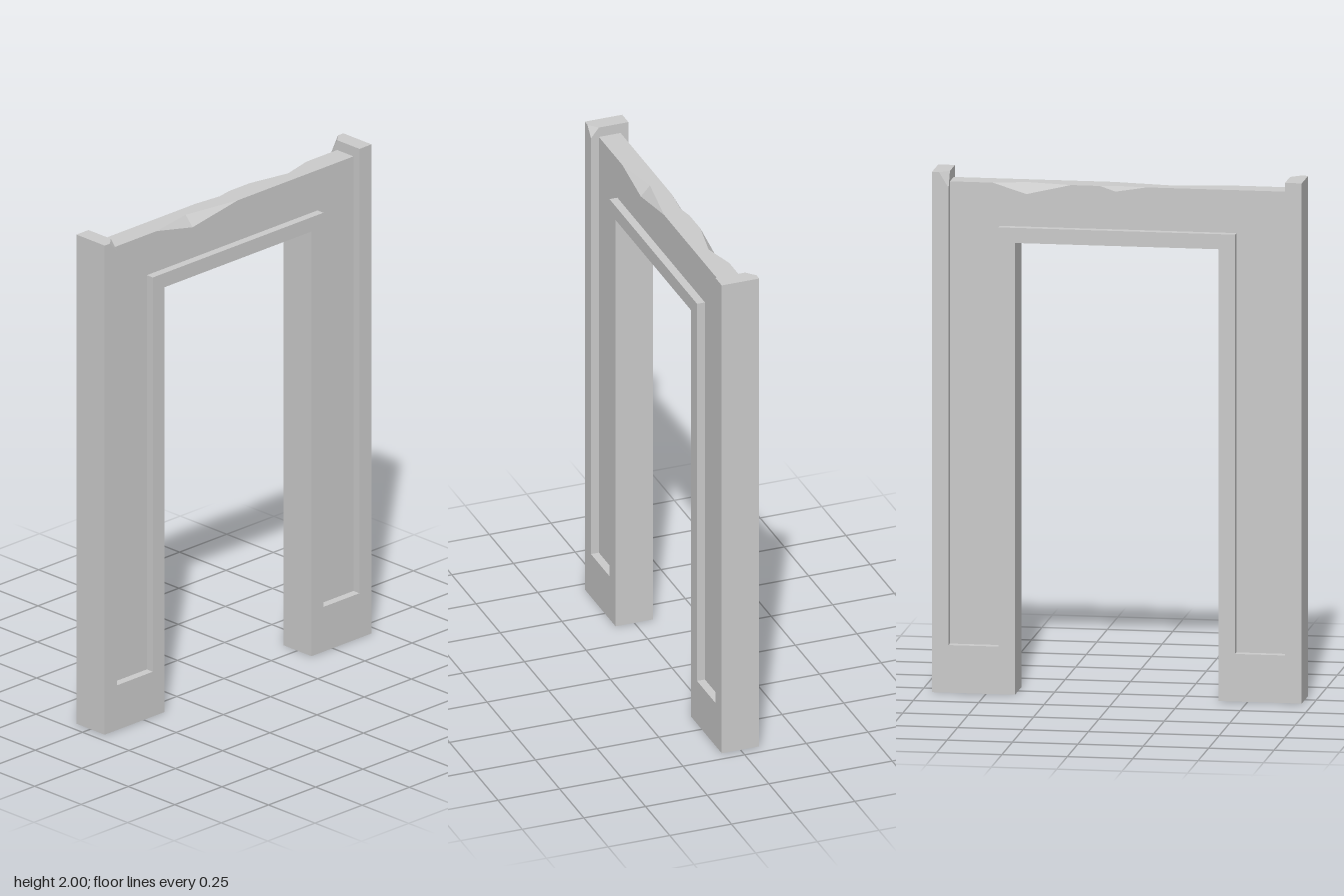
import * as THREE from 'three';
import { ConvexGeometry } from 'three/addons/geometries/ConvexGeometry.js';

const OUTER = 0.707, POST = 0.643, TRIM = 0.452, OPENING = 0.389;
const DEPTH = 0.076, CORE = 0.044;
const TOP = 2, LINTEL_TOP = 1.96, TRIM_TOP = 1.795, OPENING_TOP = 1.737, BASE_TOP = 0.183;

const material = new THREE.MeshStandardMaterial({ color: 0xcccccc, flatShading: true });

function part(name, geometry) {
  const mesh = new THREE.Mesh(geometry, material);
  mesh.name = name;
  return mesh;
}

// Full-depth feet and raised trim around the opening
function trimGeometry() {
  const half = [[OPENING, OPENING_TOP], [OPENING, 0], [POST, 0], [POST, BASE_TOP], [TRIM, BASE_TOP], [TRIM, TRIM_TOP]];
  const mirrored = half.map(([x, y]) => [-x, y]).reverse();
  const shape = new THREE.Shape([...half, ...mirrored].map(([x, y]) => new THREE.Vector2(x, y)));
  return new THREE.ExtrudeGeometry(shape, { depth: 2 * DEPTH, bevelEnabled: false }).translate(0, 0, -DEPTH);
}

// Outer post with one inner top corner broken off; side is the x sign, face the z sign of the chip
function postGeometry(side, face, drop) {
  const points = [];
  for (const x of [POST, OUTER])
    for (const y of [0, TOP])
      for (const z of [-DEPTH, DEPTH]) {
        const chipped = x === POST && y === TOP && z === face * DEPTH;
        if (!chipped) points.push(new THREE.Vector3(side * x, y, z));
      }
  points.push(
    new THREE.Vector3(side * (POST + 0.036), TOP, face * DEPTH),
    new THREE.Vector3(side * POST, TOP, face * (DEPTH - 0.032)),
    new THREE.Vector3(side * POST, TOP - drop, face * DEPTH));
  return new ConvexGeometry(points);
}

// Chips along the lintel edges: start, apex, end, inward reach, drop
const frontChips = [[-0.4, -0.21, 0.03, 0.037, 0.04]];
const backChips = [[-0.11, 0.01, 0.07, 0.012, 0.02], [0.18, 0.35, 0.48, 0.033, 0.04]];

function chipAmount(chips, x) {
  for (const [a, m, b, reach, drop] of chips) {
    if (x <= a || x >= b) continue;
    const t = x < m ? (x - a) / (m - a) : (b - x) / (b - m);
    return [t * reach, t * drop];
  }
  return [0, 0];
}

// Lintel lofted along x from cross-sections with chipped upper edges
function lintelGeometry() {
  const stations = [-POST, POST, ...[...frontChips, ...backChips].flatMap(c => c.slice(0, 3))].sort((a, b) => a - b);
  const sections = stations.map(x => {
    const [fz, fy] = chipAmount(frontChips, x), [bz, by] = chipAmount(backChips, x);
    return [
      [x, TRIM_TOP, CORE], [x, LINTEL_TOP - fy, CORE], [x, LINTEL_TOP, CORE - fz],
      [x, LINTEL_TOP, -CORE + bz], [x, LINTEL_TOP - by, -CORE], [x, TRIM_TOP, -CORE]
    ];
  });
  const positions = [];
  for (let i = 0; i < sections.length - 1; i++)
    for (let j = 0; j < 6; j++) {
      const k = (j + 1) % 6;
      const a = sections[i][j], b = sections[i][k], c = sections[i + 1][k], d = sections[i + 1][j];
      positions.push(...a, ...d, ...c, ...a, ...c, ...b);
    }
  const geometry = new THREE.BufferGeometry();
  geometry.setAttribute('position', new THREE.Float32BufferAttribute(positions, 3));
  geometry.computeVertexNormals();
  return geometry;
}

export function createModel() {
  const group = new THREE.Group();
  group.name = 'doorFrame';
  group.add(part('openingTrim', trimGeometry()));
  group.add(part('lintel', lintelGeometry()));
  group.add(part('rightPost', postGeometry(-1, 1, 0.04)));
  group.add(part('leftPost', postGeometry(1, -1, 0.06)));

  // Recessed panels in both legs
  for (const side of [-1, 1]) {
    const panel = part(side < 0 ? 'rightPanel' : 'leftPanel',
      new THREE.BoxGeometry(POST - TRIM, TRIM_TOP - BASE_TOP, 2 * CORE));
    panel.position.set(side * (POST + TRIM) / 2, (TRIM_TOP + BASE_TOP) / 2, 0);
    group.add(panel);
  }
  return group;
}
